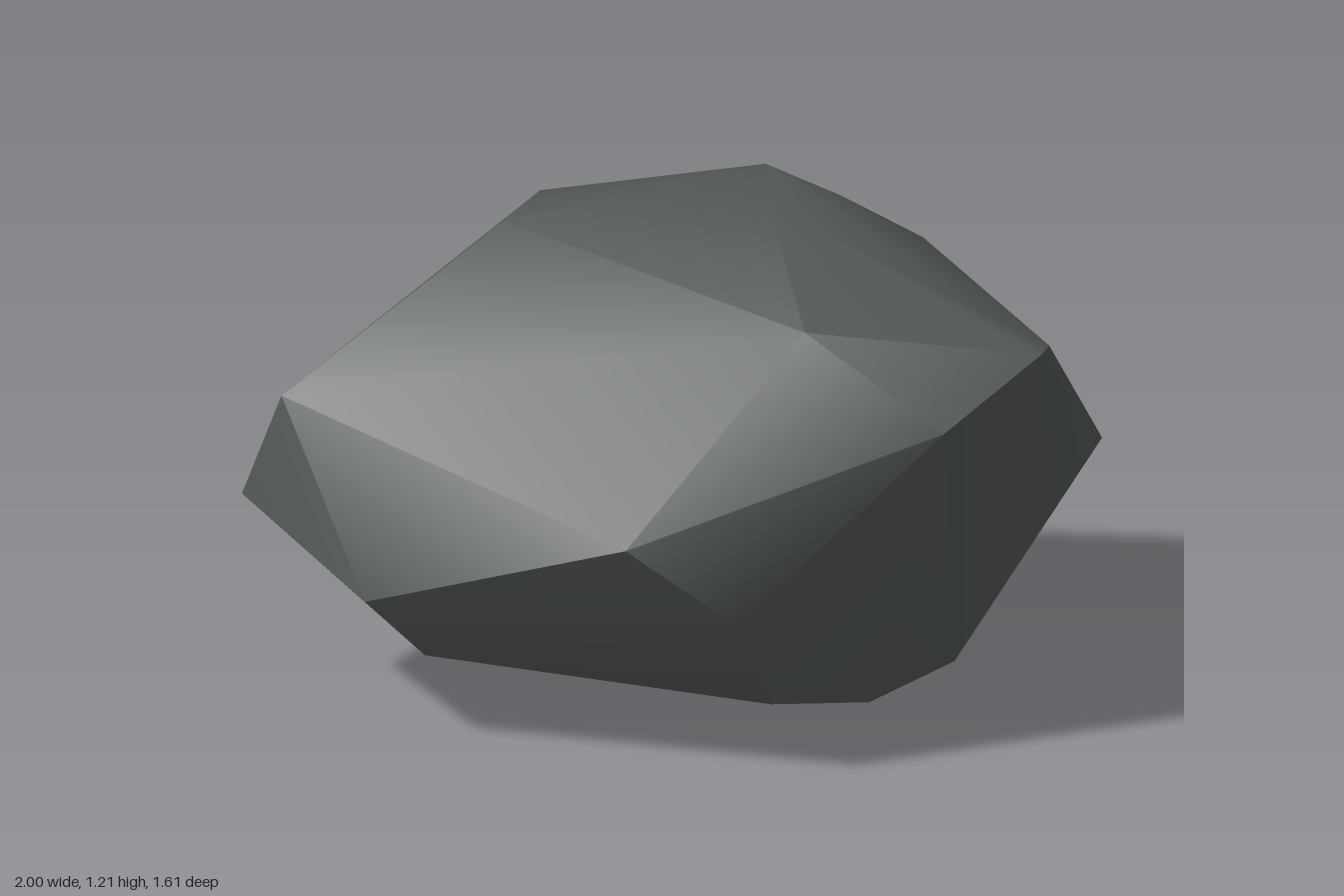
import * as THREE from 'three';
import { ConvexGeometry } from 'three/addons/geometries/ConvexGeometry.js';
import { toCreasedNormals } from 'three/addons/utils/BufferGeometryUtils.js';

// Corners of the chipped boulder, grouped from crown to underside
const crown = [
  [0.22, 1.21, 0.08], [0.22, 1.205, -0.2], [-0.39, 1.15, 0.03],
  [-0.3, 1.06, -0.43], [0.3, 1.06, 0.56], [0.4, 1.06, -0.38],
];
const shoulder = [
  [0.87, 0.94, 0.32], [0.85, 0.945, 0.4], [0.62, 0.84, 0.65],
  [0.59, 0.9, -0.54], [-0.91, 0.79, 0.22],
];
const girth = [
  [-1, 0.51, 0.11], [1, 0.54, -0.16], [0.65, 0.52, -0.61], [0.09, 0.55, -0.81],
  [-0.4, 0.66, -0.75], [-0.29, 0.45, -0.8], [-0.72, 0.67, -0.46],
  [-0.12, 0.61, 0.8], [0.14, 0.41, 0.77], [-0.72, 0.37, 0.47],
];
const underside = [
  [-0.58, 0.22, 0.42], [0.22, 0.17, 0.63], [0.45, 0.12, 0.48], [0.65, 0.17, 0.34],
  [-0.62, 0.17, 0.06], [-0.28, 0.11, 0.12], [0.28, 0.07, 0.18],
  [0.28, 0.03, -0.28], [0.02, 0, -0.22],
];

export function createModel() {
  const group = new THREE.Group();
  group.name = 'boulder';

  const stone = new THREE.MeshStandardMaterial({ color: 0x555b57 });
  stone.name = 'dark grey stone';

  // Convex stone: soft across shallow facets, sharp along the strong breaks
  const corners = [...crown, ...shoulder, ...girth, ...underside]
    .map((p) => new THREE.Vector3(...p));
  const geometry = toCreasedNormals(new ConvexGeometry(corners), THREE.MathUtils.degToRad(40));

  const rock = new THREE.Mesh(geometry, stone);
  rock.name = 'rock';
  group.add(rock);
  return group;
}
